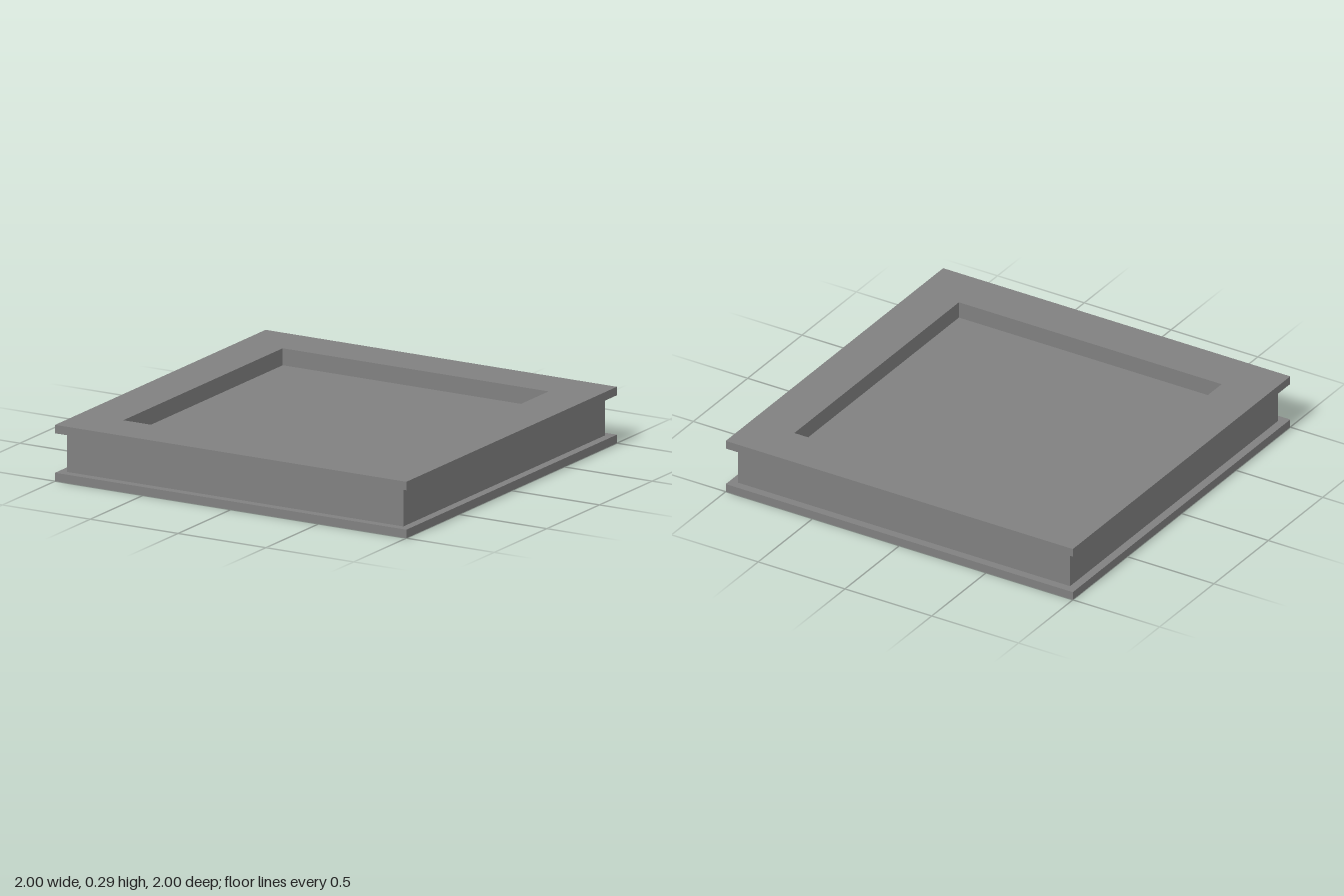
import * as THREE from 'three';

const grey = new THREE.MeshStandardMaterial({ color: 0x808080 });
grey.name = 'grey';

// Half widths and heights
const OUTER = 1, CORE = 0.957, INNER = 0.757;
const BASE_TOP = 0.043, FLOOR = 0.2, RIM_BOTTOM = 0.243, TOP = 0.286;

// Square part swept around y from a profile of [half width, height] points
function squarePart(name, profile) {
  const points = profile.map(([w, y]) => new THREE.Vector2(w * Math.SQRT2, y));
  const geometry = new THREE.LatheGeometry(points, 4, Math.PI / 4).toNonIndexed();
  geometry.computeVertexNormals();
  const mesh = new THREE.Mesh(geometry, grey);
  mesh.name = name;
  return mesh;
}

export function createModel() {
  const group = new THREE.Group();
  group.name = 'recessedTray';
  group.add(
    // Bottom flange with closed underside
    squarePart('baseFlange', [[0, 0], [OUTER, 0], [OUTER, BASE_TOP], [CORE, BASE_TOP]]),
    // Set-back side wall
    squarePart('sideWall', [[CORE, BASE_TOP], [CORE, RIM_BOTTOM]]),
    // Top flange, turning down into the recess
    squarePart('topRim', [[CORE, RIM_BOTTOM], [OUTER, RIM_BOTTOM], [OUTER, TOP], [INNER, TOP], [INNER, FLOOR]]),
    // Sunken floor
    squarePart('recessFloor', [[INNER, FLOOR], [0, FLOOR]])
  );
  return group;
}
